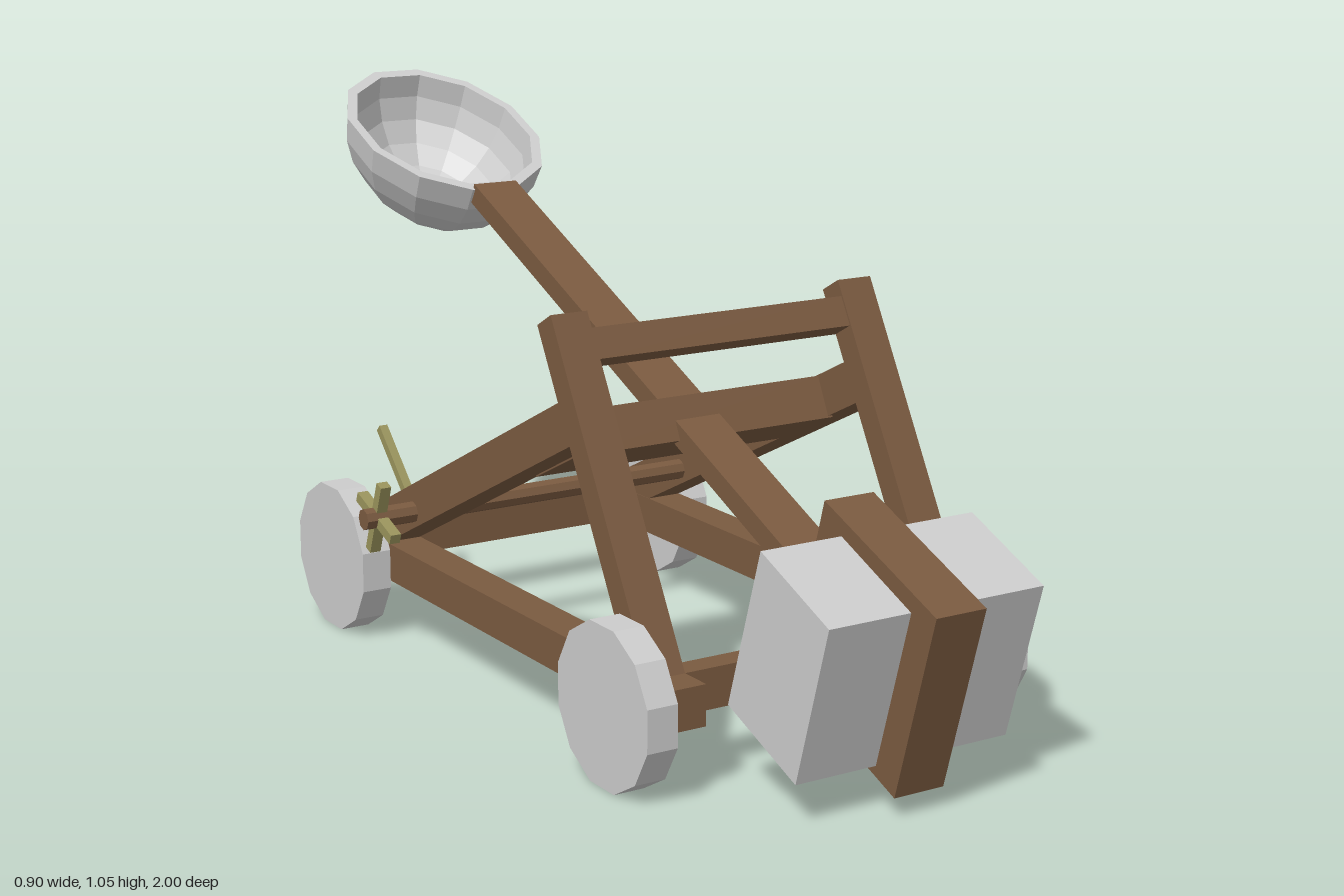
import * as THREE from 'three';

export function createModel() {
  const model = new THREE.Group();
  const wood = new THREE.MeshStandardMaterial({ color: 0x7a5a40, flatShading: true });
  const grey = new THREE.MeshStandardMaterial({ color: 0xcccccc, flatShading: true });
  const pale = new THREE.MeshStandardMaterial({ color: 0x99935c, flatShading: true });

  const add = (name, geometry, material, x = 0, y = 0, z = 0) => {
    const mesh = new THREE.Mesh(geometry, material);
    mesh.name = name;
    mesh.position.set(x, y, z);
    model.add(mesh);
    return mesh;
  };
  const box = (name, material, size, pos) => add(name, new THREE.BoxGeometry(...size), material, ...pos);

  // Straight bar between two points, w wide and h thick
  const beam = (name, material, from, to, w, h) => {
    const a = new THREE.Vector3(...from), b = new THREE.Vector3(...to);
    const mid = a.clone().add(b).multiplyScalar(0.5);
    const mesh = box(name, material, [w, h, a.distanceTo(b)], mid.toArray());
    mesh.lookAt(b);
    return mesh;
  };

  // Solid with a side outline of [z, y] points, spanning x0 to x1
  const sideSlab = (name, material, points, x0, x1) => {
    const shape = new THREE.Shape(points.map(([z, y]) => new THREE.Vector2(-z, y)));
    const geo = new THREE.ExtrudeGeometry(shape, { depth: x1 - x0, bevelEnabled: false });
    geo.rotateY(Math.PI / 2);
    return add(name, geo, material, x0);
  };

  // Base frame, uprights, braces and wheels, mirrored left and right
  for (const s of [1, -1]) {
    const side = s > 0 ? 'left' : 'right';
    const x = s * 0.307;
    box(side + 'BaseRail', wood, [0.075, 0.075, 1.28], [x, 0.158, 0]);
    beam(side + 'Upright', wood, [x, 0.16, 0.565], [x, 0.755, 0.235], 0.074, 0.053);
    beam(side + 'Brace', wood, [x, 0.16, -0.56], [x, 0.586, 0.31], 0.073, 0.08);
    for (const z of [0.525, -0.525]) {
      const wheel = new THREE.CylinderGeometry(0.15, 0.15, 0.06, 12);
      wheel.rotateY(Math.PI / 12).rotateZ(Math.PI / 2);
      add(side + (z > 0 ? 'FrontWheel' : 'BackWheel'), wheel, grey, s * 0.375, 0.145, z);
    }
  }
  for (const z of [0.55, -0.545]) {
    box(z > 0 ? 'frontCrossBeam' : 'backCrossBeam', wood, [0.56, 0.075, 0.05], [0, 0.158, z]);
  }

  // Stop bar across the uprights and the wide pivot beam between the braces
  box('stopBar', wood, [0.56, 0.058, 0.05], [0, 0.702, 0.262]).rotation.x = -0.506;
  beam('pivotBeam', wood, [0, 0.468, 0.073], [0, 0.538, 0.218], 0.56, 0.082);

  // Throwing arm
  beam('throwingArm', wood, [-0.02, 0.28, 0.76], [-0.003, 0.848, -0.56], 0.096, 0.042);

  // Counterweight block held in a wooden band
  sideSlab('counterweightBand', wood,
    [[0.998, 0.374], [0.9, 0.037], [0.594, 0.16], [0.692, 0.497]], -0.069, 0.033);
  sideSlab('counterweight', grey,
    [[0.933, 0.366], [0.848, 0.077], [0.65, 0.155], [0.741, 0.447]], -0.232, 0.208);

  // Bowl: a thick half-ellipsoid shell, longer along the arm
  const profile = [];
  const rings = 6;
  for (let i = 0; i <= rings; i++) {
    const a = (i / rings) * Math.PI / 2;
    profile.push(new THREE.Vector2(Math.sin(a), -0.205 * Math.cos(a)));
  }
  for (let i = rings; i >= 0; i--) {
    const a = (i / rings) * Math.PI / 2;
    profile.push(new THREE.Vector2(0.9 * Math.sin(a), -0.185 * Math.cos(a)));
  }
  profile[0].x = profile[profile.length - 1].x = 0;
  const bowlGeo = new THREE.LatheGeometry(profile, 12, Math.PI / 12);
  bowlGeo.scale(0.202, 1, 0.249);
  add('bowl', bowlGeo, grey, -0.004, 0.955, -0.767).rotation.x = 0.422;

  // Winch axle with a crossed handle
  const axle = new THREE.CylinderGeometry(0.021, 0.021, 0.9, 8);
  axle.rotateZ(Math.PI / 2);
  add('winchAxle', axle, wood, 0, 0.286, -0.28);
  for (const turn of [0, Math.PI / 2]) {
    box('winchHandle', pale, [0.022, 0.02, 0.15], [-0.418, 0.286, -0.28]).rotation.x = 0.36 + turn;
  }

  // Release lever on its small block
  box('leverBlock', wood, [0.07, 0.035, 0.042], [-0.215, 0.205, -0.55]);
  beam('releaseLever', pale, [-0.213, 0.2, -0.515], [-0.213, 0.355, -0.67], 0.018, 0.018);

  return model;
}
